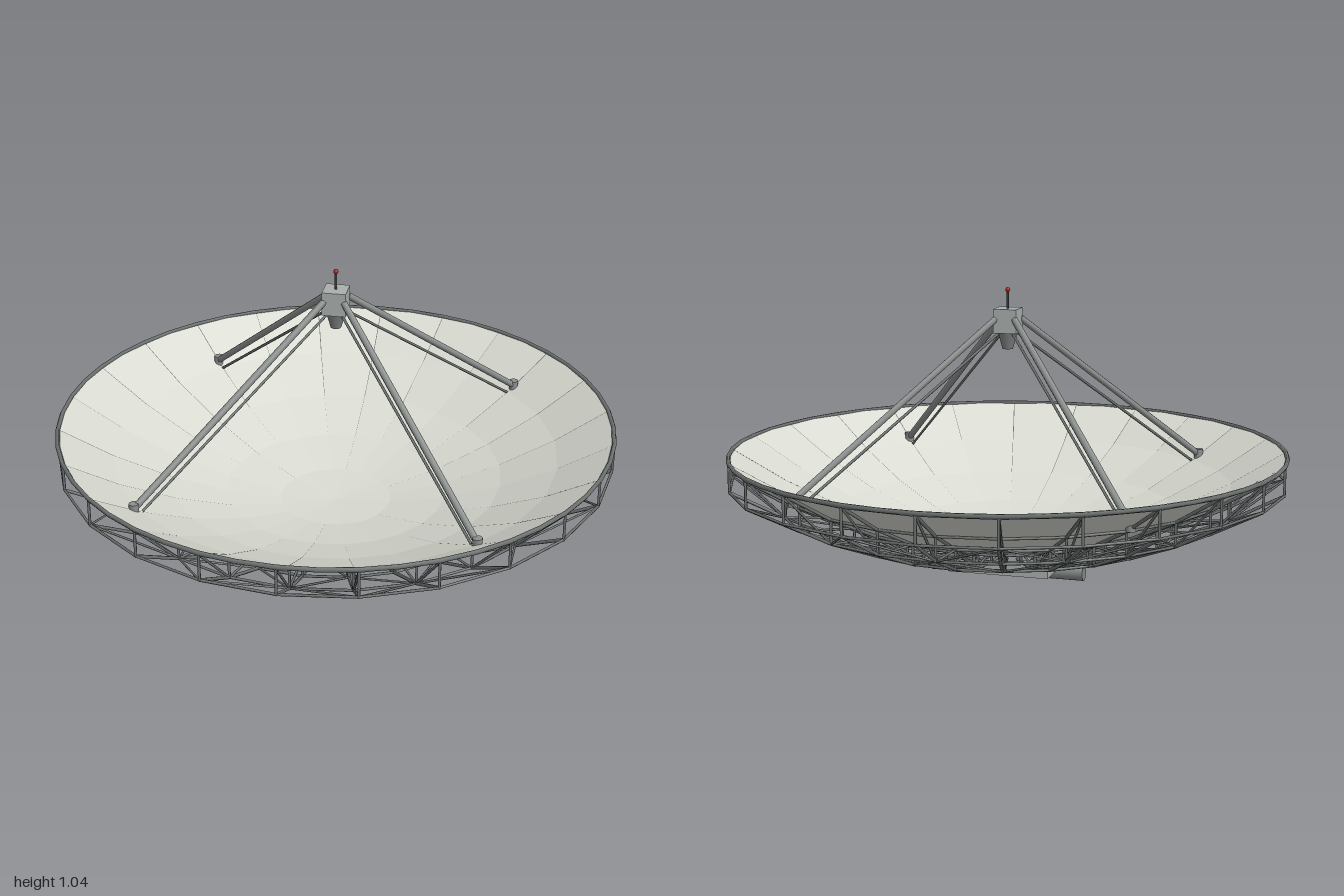
import * as THREE from 'three';
import { mergeGeometries } from 'three/addons/utils/BufferGeometryUtils.js';

const RIBS = 24;
const RADII = [0.1, 0.2, 0.4, 0.6, 0.8, 0.99];
const UP = new THREE.Vector3(0, 1, 0);
const V = (x, y, z) => new THREE.Vector3(x, y, z);

const material = (color, extra = {}) => new THREE.MeshStandardMaterial({ color, ...extra });

// Height of the paraboloid and of the lower truss chord at a radius
const dishY = r => 0.13 + 0.335 * r * r;
const chordY = r => dishY(r) - 0.03 - 0.072 * r;

// Straight round bar between two points
function bar(a, b, radius, sides = 6) {
  const d = b.clone().sub(a);
  const g = new THREE.CylinderGeometry(radius, radius, d.length(), sides);
  g.applyQuaternion(new THREE.Quaternion().setFromUnitVectors(UP, d.normalize()));
  g.translate((a.x + b.x) / 2, (a.y + b.y) / 2, (a.z + b.z) / 2);
  return g;
}

export function createModel() {
  const model = new THREE.Group();
  const steel = material(0x6c7170);
  const pale = material(0xa9afac, { flatShading: true });
  const add = (name, geometry, mat, parent = model) => {
    const mesh = new THREE.Mesh(geometry, mat);
    mesh.name = name;
    parent.add(mesh);
    return mesh;
  };

  // Faceted reflector bowl and its round rim
  const profile = [0.001, 0.2, 0.4, 0.6, 0.8, 0.99].map(r => new THREE.Vector2(r, dishY(r)));
  add('reflector', new THREE.LatheGeometry(profile, RIBS),
    material(0xd9dbd2, { flatShading: true, side: THREE.DoubleSide }));
  const rim = add('rim', new THREE.TorusGeometry(0.99, 0.008, 6, 48).rotateX(Math.PI / 2), steel);
  rim.position.y = dishY(0.99);

  // Backing truss: radial ribs, hoops and bracing between the ribs
  const ribs = [], hoops = [], braces = [];
  const point = (i, k, height, drop = 0) => {
    const a = i / RIBS * Math.PI * 2, r = RADII[k];
    return V(r * Math.sin(a), height(r) - drop, r * Math.cos(a));
  };
  for (let i = 0; i < RIBS; i++) {
    const top = k => point(i, k, dishY, 0.006);
    const low = k => point(i, k, chordY);
    for (let k = 0; k < RADII.length; k++) {
      ribs.push(bar(top(k), low(k), 0.005));
      hoops.push(bar(low(k), point(i + 1, k, chordY), 0.005));
      hoops.push(bar(top(k), point(i + 1, k, dishY, 0.006), 0.005));
      if (k === 0) continue;
      ribs.push(bar(top(k - 1), top(k), 0.006), bar(low(k - 1), low(k), 0.006));
      ribs.push(k % 2 ? bar(top(k), low(k - 1), 0.0045) : bar(low(k), top(k - 1), 0.0045));
      if (k > 2) {
        const flip = (i + k) % 2;
        braces.push(bar(point(i + flip, k, chordY), point(i + 1 - flip, k - 1, chordY), 0.004));
      }
    }
  }
  const truss = new THREE.Group();
  truss.name = 'backTruss';
  model.add(truss);
  add('ribs', mergeGeometries(ribs), steel, truss);
  add('hoops', mergeGeometries(hoops), steel, truss);
  add('braces', mergeGeometries(braces), steel, truss);

  // Mount: housing, horizontal axle and struts up to the truss
  const mount = new THREE.Group();
  mount.name = 'mount';
  model.add(mount);
  add('housing', new THREE.BoxGeometry(0.37, 0.075, 0.26).translate(0, 0.07, 0), pale, mount);
  add('axle', new THREE.CylinderGeometry(0.03, 0.03, 0.57, 20).rotateZ(Math.PI / 2).translate(0, 0.03, 0),
    material(0x858c8b), mount);
  const struts = [];
  for (const s of [-1, 1]) {
    struts.push(bar(V(s * 0.19, 0.05, 0), V(s * 0.29, 0.125, 0), 0.014, 8));
    for (const t of [-1, 1]) struts.push(bar(V(s * 0.15, 0.08, t * 0.1), V(s * 0.2, 0.13, t * 0.18), 0.01, 8));
  }
  add('mountStruts', mergeGeometries(struts), steel, mount);

  // Four feed legs, each with a thin lower stay and a foot
  for (const sx of [-1, 1]) for (const sz of [-1, 1]) {
    const leg = new THREE.Group();
    leg.name = 'feedLeg';
    model.add(leg);
    const at = (d, y) => V(sx * d, y, sz * d);
    add('legTube', bar(at(0.583, 0.365), at(0.035, 0.935), 0.012, 8), material(0x8b908e), leg);
    add('legStay', bar(at(0.56, 0.345), at(0.025, 0.885), 0.005), steel, leg);
    add('legFoot', new THREE.CylinderGeometry(0.017, 0.017, 0.04, 10).translate(sx * 0.583, 0.365, sz * 0.583),
      material(0x8b908e), leg);
  }

  // Feed: block, tapered horn, mast and beacon
  const feed = new THREE.Group();
  feed.name = 'feed';
  model.add(feed);
  add('feedBlock', new THREE.BoxGeometry(0.084, 0.085, 0.084).translate(0, 0.928, 0), pale, feed);
  add('feedHorn', new THREE.CylinderGeometry(0.036, 0.019, 0.06, 12).translate(0, 0.857, 0),
    material(0x7d8381), feed);
  add('mast', new THREE.CylinderGeometry(0.004, 0.004, 0.065, 8).translate(0, 1.0, 0), material(0x4a4d4d), feed);
  add('beacon', new THREE.SphereGeometry(0.009, 12, 8).translate(0, 1.036, 0), material(0xb02020), feed);

  return model;
}
